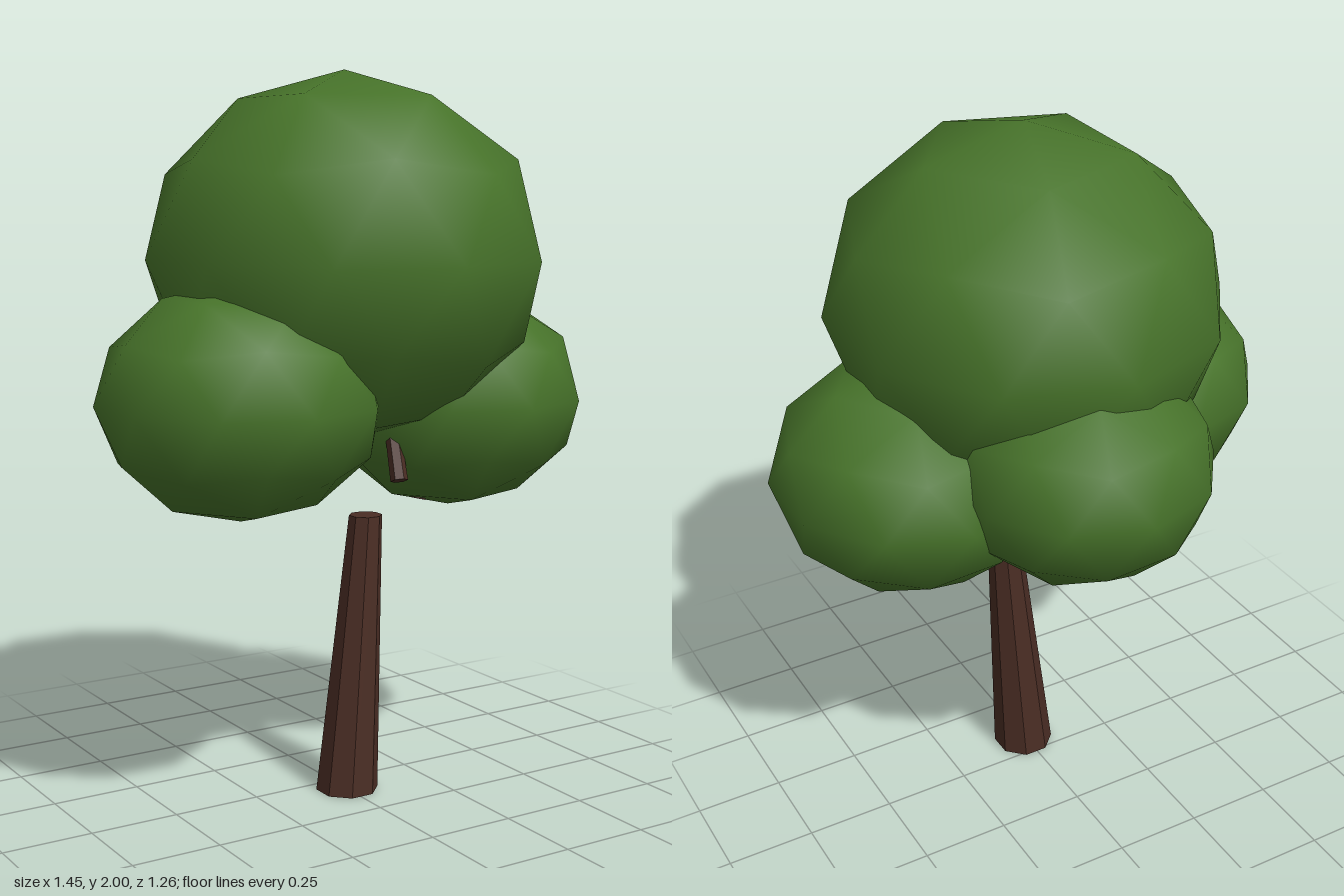
import * as THREE from 'three';

const UP = new THREE.Vector3(0, 1, 0);

export function createModel() {
  const tree = new THREE.Group();
  tree.name = 'tree';

  const bark = new THREE.MeshStandardMaterial({ color: 0x4a2d24 });
  bark.name = 'bark brown';
  bark.flatShading = true;
  const leaves = new THREE.MeshStandardMaterial({ color: 0x47732a });
  leaves.name = 'leaf green';

  // Leaning tapered trunk, sheared so that both ends stay level
  const height = 0.785;
  const trunkGeo = new THREE.CylinderGeometry(0.047, 0.088, height, 8);
  trunkGeo.rotateY(Math.PI / 8);
  trunkGeo.translate(0, height / 2, 0);
  const p = trunkGeo.attributes.position;
  for (let i = 0; i < p.count; i++) {
    p.setX(i, p.getX(i) + 0.005 + 0.06 * (p.getY(i) / height));
    p.setZ(i, p.getZ(i) + 0.071);
  }
  trunkGeo.computeVertexNormals();
  const trunk = new THREE.Mesh(trunkGeo, bark);
  trunk.name = 'trunk';
  tree.add(trunk);

  // Smooth low-poly ball with a corner at each pole
  const ball = new THREE.IcosahedronGeometry(1, 1);
  ball.rotateZ(Math.atan2(2, 1 + Math.sqrt(5)));
  ball.rotateY(Math.PI);

  // Foliage clumps: name, centre, radii
  const clumps = [
    ['crown', [-0.003, 1.5, 0.065], [0.538, 0.5, 0.563]],
    ['leftFoliage', [0.37, 1.1, 0.04], [0.373, 0.32, 0.388]],
    ['rightFoliage', [-0.37, 1.14, 0.14], [0.378, 0.315, 0.386]],
    ['backFoliage', [0.02, 1.175, -0.28], [0.358, 0.31, 0.355]],
  ];
  for (const [name, centre, radii] of clumps) {
    const clump = new THREE.Mesh(ball, leaves);
    clump.name = name;
    clump.position.set(...centre);
    clump.scale.set(...radii);
    tree.add(clump);
  }

  // Short branches reaching up into the foliage
  function branch(name, from, to, r0, r1) {
    const a = new THREE.Vector3(...from);
    const dir = new THREE.Vector3(...to).sub(a);
    const mesh = new THREE.Mesh(new THREE.CylinderGeometry(r1, r0, dir.length(), 6), bark);
    mesh.name = name;
    mesh.position.copy(a).addScaledVector(dir, 0.5);
    mesh.quaternion.setFromUnitVectors(UP, dir.normalize());
    tree.add(mesh);
  }
  branch('frontBranch', [0.07, 0.905, 0.23], [0.09, 1.1, 0.15], 0.024, 0.02);
  branch('backBranchEnd', [-0.005, 0.865, -0.13], [-0.005, 0.92, -0.13], 0.026, 0.02);
  branch('backBranch', [-0.005, 0.91, -0.13], [-0.005, 1.1, -0.11], 0.008, 0.03);
  branch('leftBranch', [0.25, 0.81, 0.06], [0.3, 1.0, 0.05], 0.022, 0.02);

  return tree;
}
